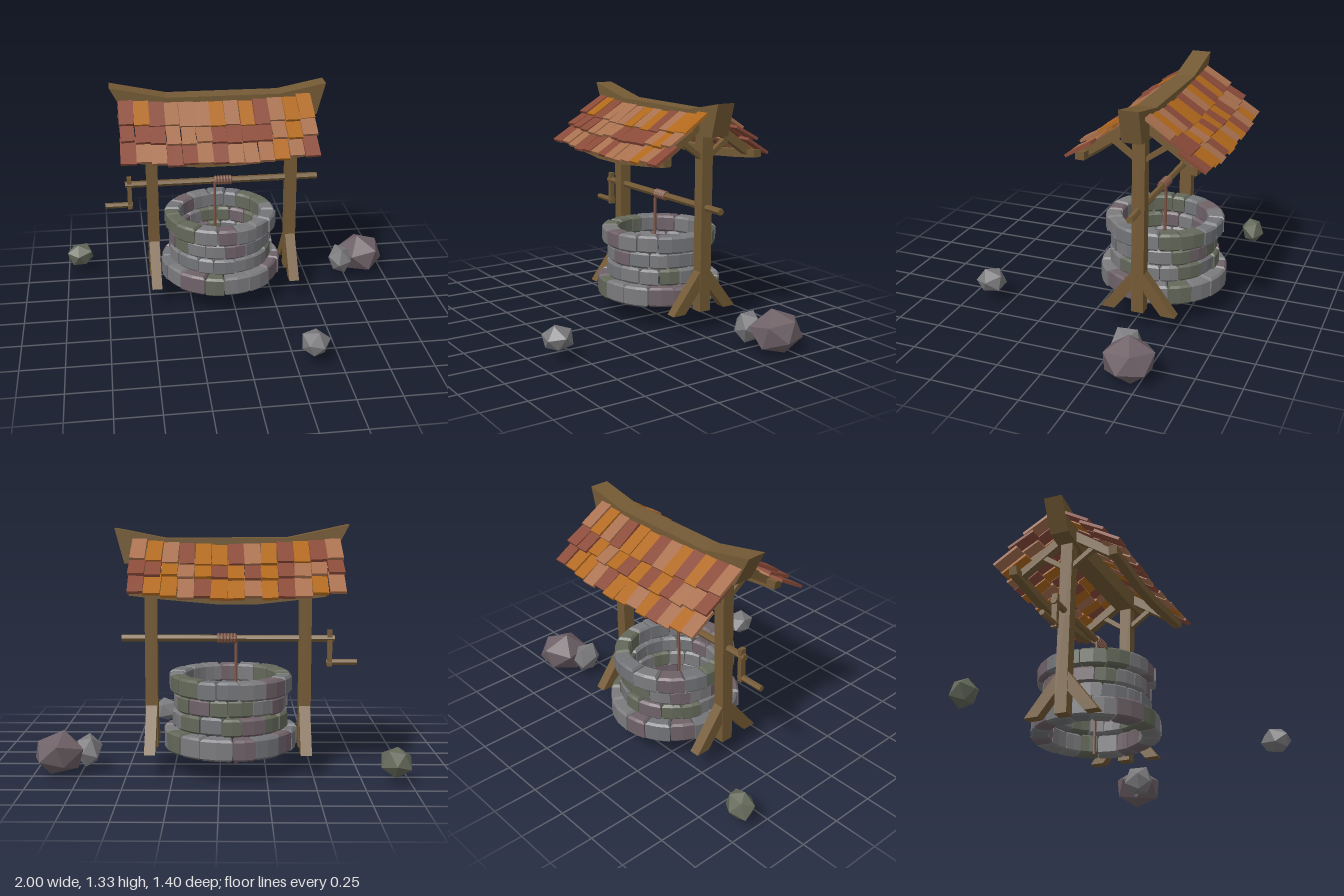
import * as THREE from 'three';

const mat = (color) => new THREE.MeshStandardMaterial({ color, flatShading: true, roughness: 0.9 });
const WOOD = mat(0x745a35), ROPE = mat(0x7d5443);
const STONES = [0x7b7b7e, 0x7b7b7e, 0x64695a, 0x6f6268, 0x727478].map(mat);
const TILES = [0x8a4a38, 0xb0681c, 0xa8704f].map(mat);

let seed = 11;
const rnd = () => (seed = (seed * 16807) % 2147483647) / 2147483647;
const jit = (a) => (rnd() - 0.5) * 2 * a;
const pick = (list) => list[Math.floor(rnd() * list.length)];

function add(parent, name, geometry, material, x = 0, y = 0, z = 0) {
  const m = new THREE.Mesh(geometry, material);
  m.name = name;
  m.position.set(x, y, z);
  parent.add(m);
  return m;
}
const shapeOf = (pts) => new THREE.Shape(pts.map(([x, y]) => new THREE.Vector2(x, y)));

// Prism with an outline in (x, y), centred on z
function frontPrism(pts, depth) {
  return new THREE.ExtrudeGeometry(shapeOf(pts), { depth, bevelEnabled: false }).translate(0, 0, -depth / 2);
}
// Prism with an outline in (z, y), centred on x
const sidePrism = (pts, width) => frontPrism(pts, width).rotateY(-Math.PI / 2);

// Bevelled block filling one sector of a ring
function ringStone(r0, r1, a0, a1, h) {
  const b = 0.012, pts = [];
  const n = 2;
  for (let i = 0; i <= n; i++) {
    const a = a0 + b / r1 + ((a1 - a0 - 2 * b / r1) * i) / n;
    pts.push([Math.cos(a) * (r1 - b), Math.sin(a) * (r1 - b)]);
  }
  for (let i = n; i >= 0; i--) {
    const a = a0 + b / r0 + ((a1 - a0 - 2 * b / r0) * i) / n;
    pts.push([Math.cos(a) * (r0 + b), Math.sin(a) * (r0 + b)]);
  }
  const g = new THREE.ExtrudeGeometry(shapeOf(pts), {
    depth: h - 2 * b, bevelThickness: b, bevelSize: b, bevelSegments: 1,
  });
  return g.translate(0, 0, b).rotateX(-Math.PI / 2);
}

function makeWall() {
  const wall = new THREE.Group();
  wall.name = 'stoneWall';
  const courses = [
    [0.125, 0.115, 0.26, 0.362], [0.242, 0.095, 0.235, 0.312],
    [0.339, 0.093, 0.235, 0.308], [0.434, 0.1, 0.245, 0.335],
  ];
  courses.forEach(([y, h, r0, r1], row) => {
    const n = 16, step = (Math.PI * 2) / n;
    const cuts = Array.from({ length: n }, (_, i) => (i + row * 0.5) * step + jit(0.06));
    cuts.push(cuts[0] + Math.PI * 2);
    for (let i = 0; i < n; i++) {
      const g = ringStone(r0, r1 + jit(0.007), cuts[i] + 0.006, cuts[i + 1] - 0.006, h);
      add(wall, 'wallStone', g, pick(STONES), 0, y + jit(0.003), 0);
    }
  });
  wall.position.x = -0.055;
  return wall;
}

function makeFrame() {
  const frame = new THREE.Group();
  frame.name = 'woodFrame';
  for (const x of [-0.46, 0.373]) {
    add(frame, 'post', new THREE.BoxGeometry(0.067, 1.06, 0.071), WOOD, x, 0.65, 0);
    for (const s of [1, -1]) {
      const part = (name, pts, w) =>
        add(frame, name, sidePrism(pts.map(([z, y]) => [z * s, y]), w), WOOD, x, 0, 0);
      part('footBrace', [[0.03, 0.36], [0.215, 0.12], [0.135, 0.12], [0.03, 0.25]], 0.06);
      part('rafter', [[0.02, 1.235], [0.335, 1.015], [0.31, 0.975], [0.02, 1.17]], 0.05);
      part('roofStrut', [[0.03, 0.99], [0.03, 1.022], [0.15, 1.11], [0.18, 1.095]], 0.03);
    }
  }
  // Sagging ridge beam with flared ends
  add(frame, 'ridgeBeam', frontPrism([
    [-0.685, 1.335], [-0.36, 1.265], [0.29, 1.262], [0.56, 1.315],
    [0.51, 1.13], [0.3, 1.115], [-0.36, 1.115], [-0.59, 1.155],
  ], 0.11), WOOD);
  // Bowed eave beams
  for (const s of [1, -1]) {
    add(frame, 'eaveBeam', frontPrism([
      [-0.55, 1.03], [-0.2, 0.99], [0.02, 0.99], [0.28, 1.01], [0.46, 1.03],
      [0.46, 0.985], [0.28, 0.965], [0.02, 0.942], [-0.2, 0.942], [-0.54, 0.98],
    ], 0.05), WOOD, 0, 0, s * 0.308);
  }
  return frame;
}

function makeRoof() {
  const roof = new THREE.Group();
  roof.name = 'tiledRoof';
  // Each row: upper z, upper y, lower z, lower y
  const rows = [
    [0.05, 1.235, 0.2, 1.14], [0.15, 1.155, 0.295, 1.075], [0.235, 1.075, 0.382, 0.985],
  ];
  for (const s of [1, -1]) for (const [z0, y0, z1, y1] of rows) {
    const n = 13, w = 1.11 / n, slope = Math.atan2(y0 - y1, z1 - z0);
    const length = Math.hypot(z1 - z0, y0 - y1);
    for (let i = 0; i < n; i++) {
      const x = -0.64 + (i + 0.5) * w;
      const sag = 0.1 * (x + 0.08) ** 2 - 0.008;
      const slide = jit(0.008);
      const tile = add(roof, 'roofTile',
        new THREE.BoxGeometry(w * (0.97 + jit(0.06)), 0.016, length + jit(0.006)), pick(TILES),
        x, (y0 + y1) / 2 + sag + jit(0.004) - slide * 0.5, s * ((z0 + z1) / 2 + slide));
      tile.rotation.set(s * (slope + jit(0.03)), jit(0.035), jit(0.03));
    }
  }
  return roof;
}

function makeWinch() {
  const winch = new THREE.Group();
  winch.name = 'winch';
  const rod = (r, len) => new THREE.CylinderGeometry(r, r, len, 6).rotateZ(Math.PI / 2);
  add(winch, 'axle', rod(0.02, 1.155), WOOD, -0.043, 0.72, 0);
  add(winch, 'crankArm', new THREE.BoxGeometry(0.026, 0.2, 0.032), WOOD, -0.595, 0.667, 0);
  add(winch, 'crankHandle', rod(0.017, 0.165), WOOD, -0.66, 0.59, 0);
  // Rope wound on the axle and hanging into the shaft
  for (let i = 0; i < 6; i++) {
    const turn = add(winch, 'ropeTurn', new THREE.TorusGeometry(0.021, 0.009, 6, 10), ROPE,
      -0.08 + i * 0.0175, 0.72, 0);
    turn.rotation.y = Math.PI / 2 + 0.12;
  }
  add(winch, 'rope', new THREE.CylinderGeometry(0.009, 0.009, 0.7, 6), ROPE, -0.087, 0.37, 0.01);
  return winch;
}

// Faceted boulder, warped and fitted to a box
function makeRock(center, size, material, phase) {
  const g = new THREE.IcosahedronGeometry(1, 0).rotateX(phase).rotateZ(phase * 1.7);
  const p = g.attributes.position;
  for (let i = 0; i < p.count; i++) {
    const [x, y, z] = [p.getX(i), p.getY(i), p.getZ(i)];
    const k = 1 + 0.13 * Math.sin(4 * x + 3 * y + 5 * z + phase * 3);
    p.setXYZ(i, x * k, y * k, z * k);
  }
  g.center();
  const d = g.boundingBox.getSize(new THREE.Vector3());
  g.scale(size[0] / d.x, size[1] / d.y, size[2] / d.z);
  const rock = new THREE.Mesh(g, material);
  rock.name = 'rock';
  rock.position.set(...center);
  return rock;
}

export function createModel() {
  const model = new THREE.Group();
  model.name = 'well';
  const well = new THREE.Group();
  well.name = 'wellBody';
  well.position.z = -0.305;
  well.add(makeWall(), makeFrame(), makeRoof(), makeWinch());
  model.add(well);
  model.add(
    makeRock([-0.92, 0.115, -0.622], [0.16, 0.155, 0.145], STONES[2], 0.4),
    makeRock([0.363, 0.125, 0.62], [0.16, 0.14, 0.155], STONES[0], 1.1),
    makeRock([0.865, 0.118, -0.44], [0.27, 0.235, 0.26], STONES[3], 2.0),
    makeRock([0.715, 0.11, -0.362], [0.14, 0.165, 0.16], STONES[0], 2.9),
  );
  return model;
}
